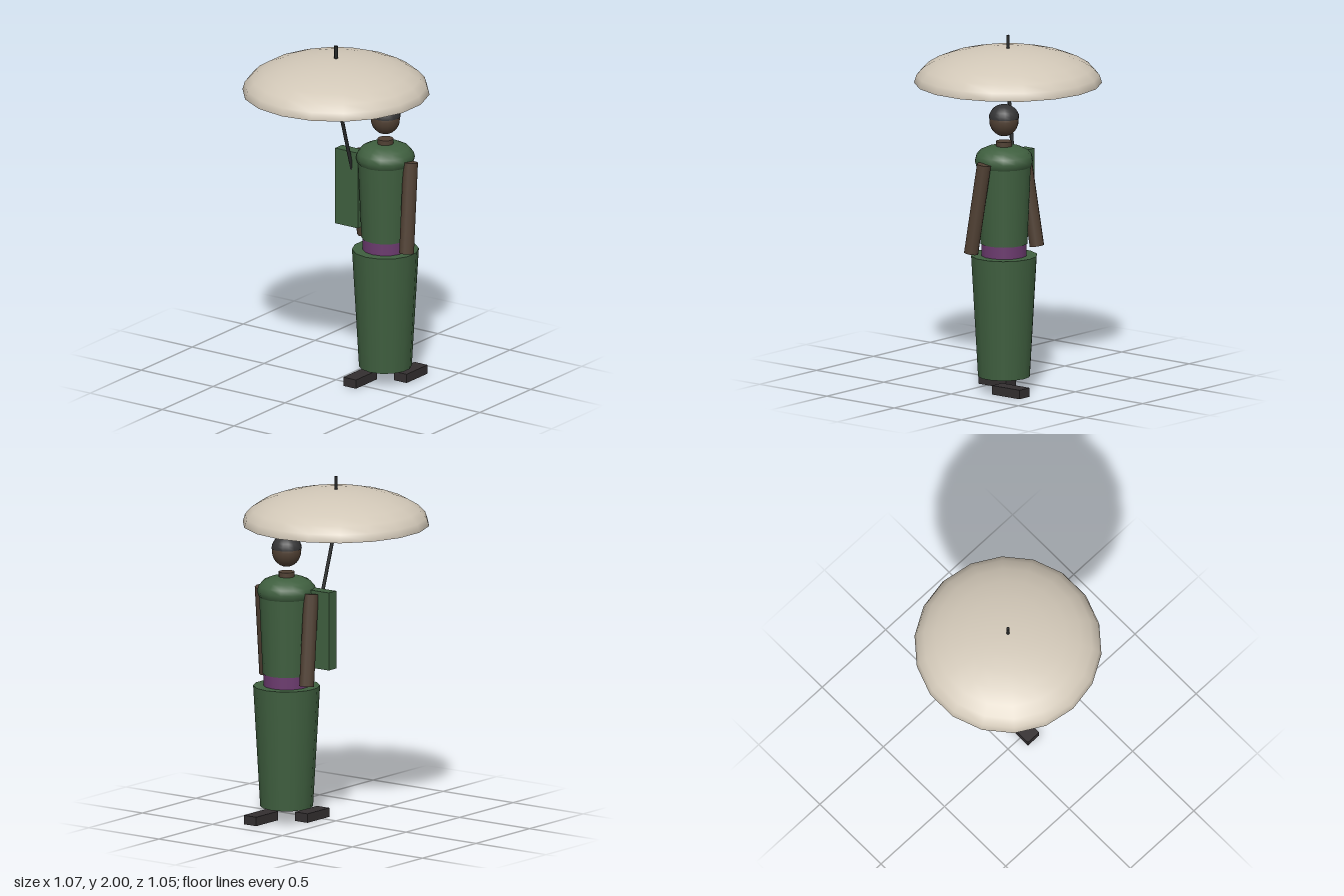
import * as THREE from 'three';

const paint = (name, color) => {
  const m = new THREE.MeshStandardMaterial({ color });
  m.name = name;
  return m;
};

export function createModel() {
  const group = new THREE.Group();
  const cream = paint('cream canopy', 0xd2c8b8);
  cream.side = THREE.DoubleSide;
  const green = paint('green cloth', 0x3f5f3f);
  const skin = paint('brown skin', 0x504033);
  const purple = paint('purple sash', 0x6b3a6e);
  const capGrey = paint('cap grey', 0x343435);
  const black = paint('black wood', 0x242626);
  const shoeDark = paint('shoe dark', 0x332f30);

  // Centre line of the standing figure
  const CX = 0.163, CZ = 0.228;

  const add = (name, geo, mat, x = 0, y = 0, z = 0) => {
    const mesh = new THREE.Mesh(geo, mat);
    mesh.name = name;
    mesh.position.set(x, y, z);
    group.add(mesh);
    return mesh;
  };

  // Upright tapered body section with a corner on the x axis
  const section = (name, mat, rTop, rBottom, y0, y1, sides = 14) => {
    const geo = new THREE.CylinderGeometry(rTop, rBottom, y1 - y0, sides).rotateY(Math.PI / 2);
    return add(name, geo, mat, CX, (y0 + y1) / 2, CZ);
  };

  // Round bar between two points
  const bar = (name, mat, a, b, rTop, rBottom, sides) => {
    const from = new THREE.Vector3(...a), to = new THREE.Vector3(...b);
    const dir = from.clone().sub(to);
    const mesh = add(name, new THREE.CylinderGeometry(rTop, rBottom, dir.length(), sides), mat);
    mesh.position.copy(from).add(to).multiplyScalar(0.5);
    mesh.quaternion.setFromUnitVectors(new THREE.Vector3(0, 1, 0), dir.normalize());
    return mesh;
  };

  // Parasol: open dome, finial and slanted pole
  const dome = new THREE.SphereGeometry(0.533, 18, 7, 0, Math.PI * 2, 0, Math.PI / 2);
  dome.scale(1, 0.2 / 0.533, 1);
  add('parasolCanopy', dome, cream, 0, 1.725, 0);
  add('parasolFinial', new THREE.CylinderGeometry(0.01, 0.01, 0.095, 6).rotateY(Math.PI / 2), black, 0, 1.9525, 0);
  bar('parasolPole', black, [0, 1.73, 0], [0.094, 1.2, 0.057], 0.011, 0.011, 6);

  // Dress
  section('skirt', green, 0.19, 0.15, 0.085, 0.785);
  section('sash', purple, 0.131, 0.131, 0.77, 0.86);
  section('bodice', green, 0.157, 0.136, 0.855, 1.33);

  // Padded collar over the shoulders
  const collarProfile = [
    [0.145, 1.292], [0.16, 1.305], [0.168, 1.335], [0.16, 1.365],
    [0.135, 1.393], [0.095, 1.411], [0.05, 1.417], [0, 1.417],
  ].map(([r, y]) => new THREE.Vector2(r, y));
  add('collar', new THREE.LatheGeometry(collarProfile, 14).rotateY(Math.PI / 2), green, CX, 0, CZ);

  // Neck, head and cap
  section('neck', skin, 0.046, 0.046, 1.39, 1.445, 12);
  const head = new THREE.SphereGeometry(0.084, 16, 12).scale(1, 1.08, 1);
  add('head', head, skin, CX, 1.565, CZ);
  const cap = new THREE.SphereGeometry(0.087, 16, 6, 0, Math.PI * 2, 0, Math.PI / 2).scale(1, 0.91, 1);
  add('cap', cap, capGrey, CX, 1.579, CZ);
  add('capBase', new THREE.CircleGeometry(0.087, 16).rotateX(Math.PI / 2), capGrey, CX, 1.579, CZ);

  // Arms and shoes swing in opposite directions on each side
  for (const s of [1, -1]) {
    const side = s > 0 ? 'front' : 'rear';
    bar(side + 'Arm', skin,
      [CX, 1.337, CZ + s * 0.175], [CX - s * 0.075, 0.817, CZ + s * 0.2], 0.042, 0.042, 10);
    add(side + 'Shoe', new THREE.BoxGeometry(0.205, 0.052, 0.088), shoeDark,
      CX + s * 0.124, 0.026, CZ + s * 0.088);
  }

  // Narrow satchel behind the body
  add('satchel', new THREE.BoxGeometry(0.07, 0.45, 0.16), green, 0.111, 1.13, 0.02);

  return group;
}
